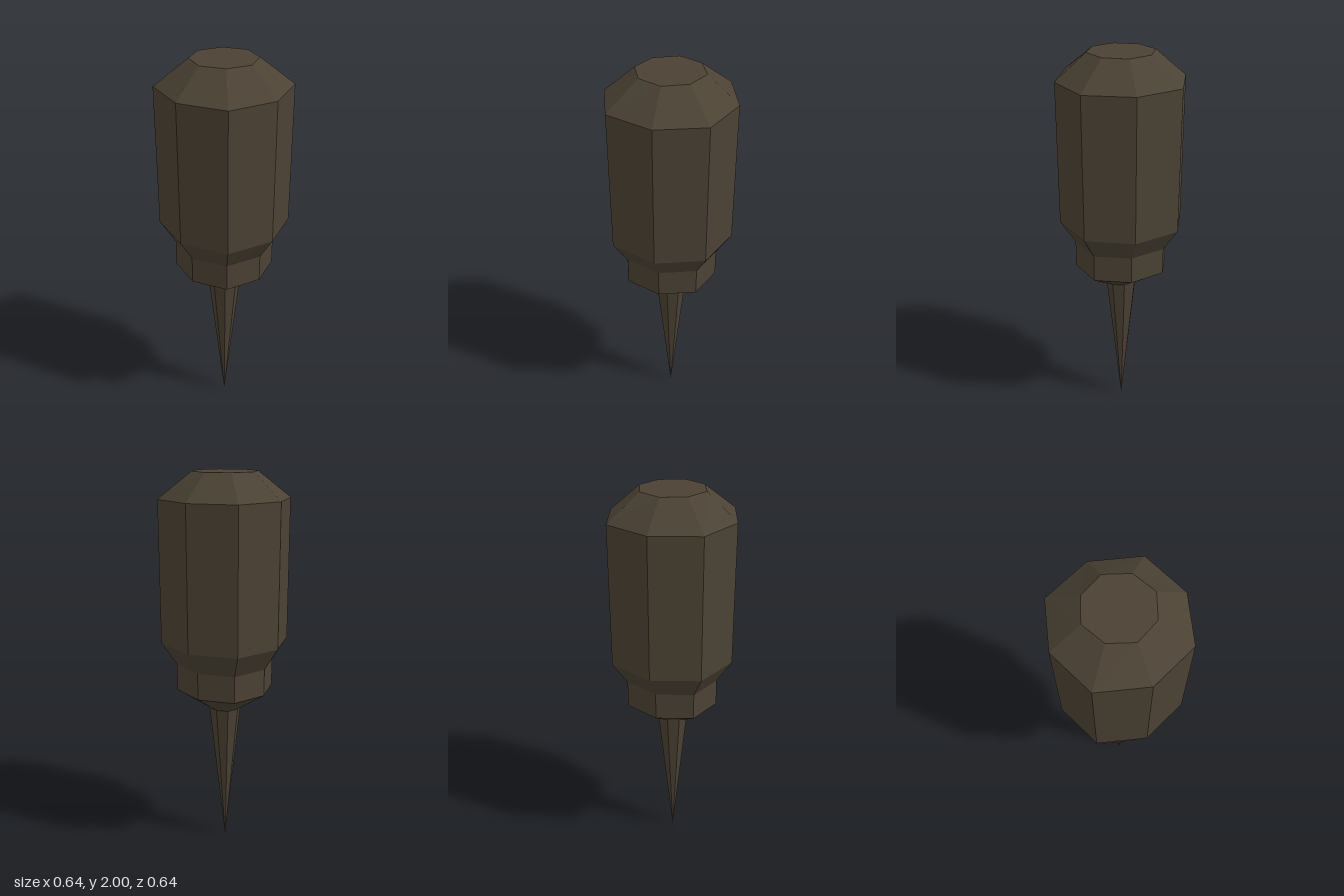
import * as THREE from 'three';

const darkBrown = new THREE.MeshStandardMaterial({ color: 0x4b4234 });

// Rings are [y, radius on the axes, radius on the diagonals], bottom to top.
const tip = [0, 0, 0];
const spikeTop = [0.78, 0.08, 0.084];
const collarBottom = [0.89, 0.242, 0.254];
const collarTop = [1.03, 0.242, 0.254];
const bodyBottom = [1.15, 0.318, 0.332];
const bodyTop = [1.87, 0.318, 0.332];
const crown = [2, 0.167, 0.164];

// Faceted eight-sided section between two rings
function section(name, lower, upper, capped = false) {
  const height = upper[0] - lower[0];
  const shape = new THREE.CylinderGeometry(upper[1], lower[1], height, 8, 1, !capped);
  const p = shape.attributes.position;
  for (let i = 0; i < p.count; i++) {
    const x = p.getX(i), z = p.getZ(i);
    const ring = p.getY(i) > 0 ? upper : lower;
    if (Math.abs(x) > 1e-4 && Math.abs(z) > 1e-4) {
      const k = ring[2] / ring[1];
      p.setX(i, x * k);
      p.setZ(i, z * k);
    }
  }
  const flat = shape.toNonIndexed();
  flat.computeVertexNormals();
  const mesh = new THREE.Mesh(flat, darkBrown);
  mesh.name = name;
  mesh.position.y = (lower[0] + upper[0]) / 2;
  return mesh;
}

export function createModel() {
  const model = new THREE.Group();
  model.name = 'spikedTool';
  model.add(
    section('spike', tip, spikeTop),
    section('collarTaper', spikeTop, collarBottom),
    section('collar', collarBottom, collarTop),
    section('handleFlare', collarTop, bodyBottom),
    section('handle', bodyBottom, bodyTop),
    section('handleCrown', bodyTop, crown, true),
  );
  return model;
}
